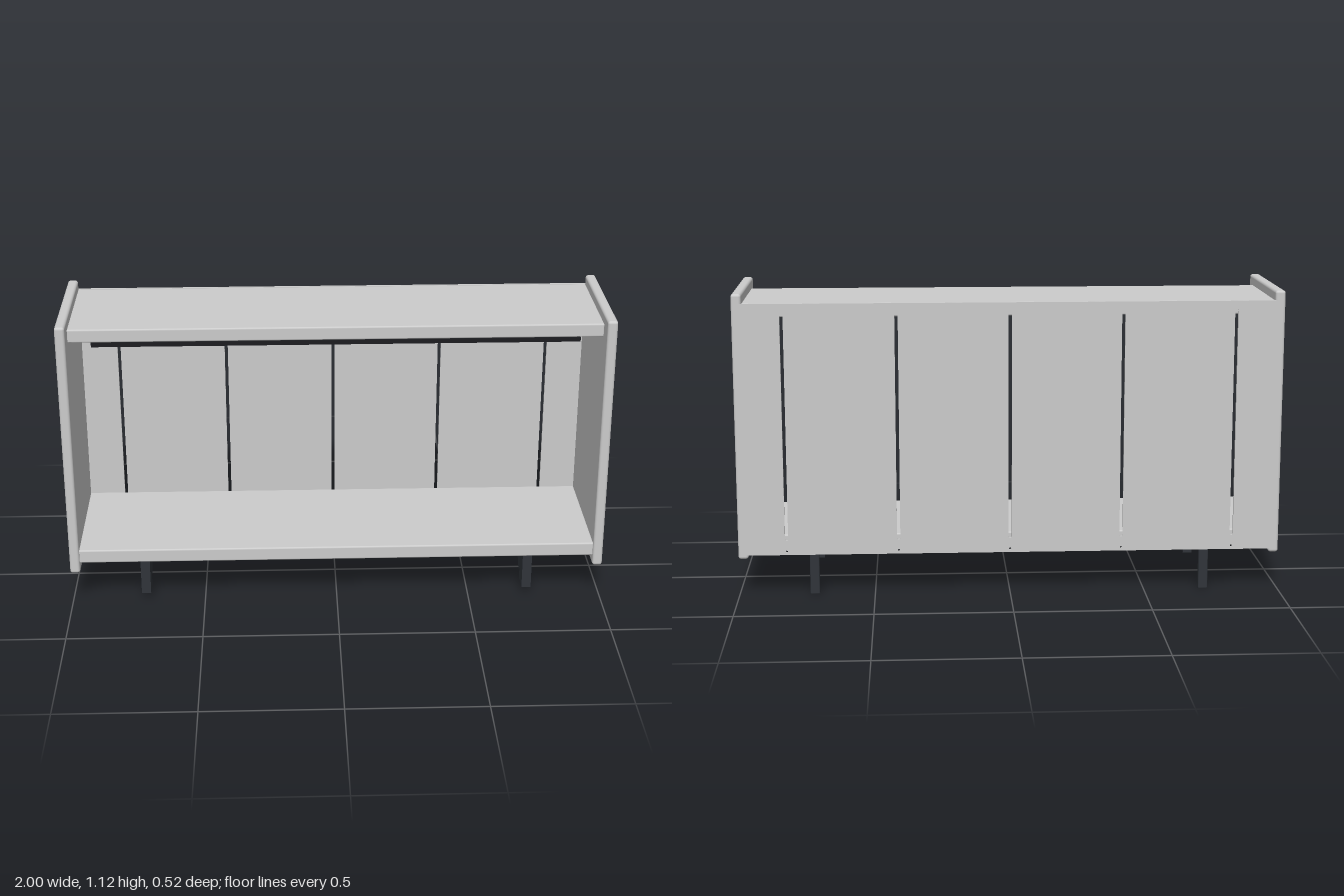
import * as THREE from 'three';
import { RoundedBoxGeometry } from 'three/addons/geometries/RoundedBoxGeometry.js';

export function createModel() {
  const root = new THREE.Group();
  const grey = new THREE.MeshStandardMaterial({ color: 0xcccccc });
  const dark = new THREE.MeshStandardMaterial({ color: 0x30343a });
  const black = new THREE.MeshStandardMaterial({ color: 0x1c1d20 });

  const add = (name, geometry, material, parent = root) => {
    const mesh = new THREE.Mesh(geometry, material);
    mesh.name = name;
    parent.add(mesh);
    return mesh;
  };
  // Box given by its limits on each axis, with an optional edge radius
  const box = (name, [x0, x1], [y0, y1], [z0, z1], material, radius = 0, parent = root) => {
    const size = [x1 - x0, y1 - y0, z1 - z0];
    const geometry = radius ? new RoundedBoxGeometry(...size, 3, radius) : new THREE.BoxGeometry(...size);
    const mesh = add(name, geometry, material, parent);
    mesh.position.set((x0 + x1) / 2, (y0 + y1) / 2, (z0 + z1) / 2);
    return mesh;
  };

  // Side panels with softly folded edges, taller than the body
  for (const s of [-1, 1]) {
    const name = s > 0 ? 'leftSidePanel' : 'rightSidePanel';
    box(name, s > 0 ? [0.963, 1] : [-1, -0.963], [0.14, 1.12], [-0.255, 0.26], grey, 0.01);
  }

  // Recessed top and deeper floor
  box('topPanel', [-0.965, 0.965], [1.035, 1.085], [-0.248, 0.188], grey, 0.006);
  box('floorPanel', [-0.965, 0.965], [0.178, 0.23], [-0.248, 0.25], grey, 0.006);

  // Back panel with five long slots, each with a small hole below
  const back = new THREE.Shape();
  back.moveTo(-0.975, 0.155);
  back.lineTo(0.975, 0.155);
  back.lineTo(0.975, 1.085);
  back.lineTo(-0.975, 1.085);
  back.closePath();
  for (let i = -2; i <= 2; i++) {
    const x = i * 0.411, r = 0.006;
    const slot = new THREE.Path();
    slot.absarc(x, 1.048, r, 0, Math.PI, false);
    slot.absarc(x, 0.215, r, Math.PI, 2 * Math.PI, false);
    slot.closePath();
    const hole = new THREE.Path();
    hole.absarc(x, 0.168, 0.004, 0, Math.PI * 2, false);
    back.holes.push(slot, hole);
  }
  const backGeometry = new THREE.ExtrudeGeometry(back, { depth: 0.01, bevelEnabled: false, curveSegments: 8 });
  add('backPanel', backGeometry, grey).position.z = -0.257;

  // Thin light bar under the top panel
  box('lightBar', [-0.88, 0.88], [1.02, 1.036], [0.178, 0.192], black);

  // Leg frames: braced front foot, rail under the floor, slim rear leg
  const foot = new THREE.Shape([
    [0.22, 0.03], [0.22, 0.18], [0.03, 0.18], [0.05, 0.14], [0.05, 0.127],
    [0.122, 0.055], [0.145, 0.072], [0.145, 0.03],
  ].map(([z, y]) => new THREE.Vector2(-z, y)));
  const footGeometry = new THREE.ExtrudeGeometry(foot, { depth: 0.035, bevelEnabled: false });
  footGeometry.translate(0, 0, -0.0175).rotateY(Math.PI / 2);
  for (const s of [-1, 1]) {
    const leg = new THREE.Group();
    leg.name = s > 0 ? 'leftLegFrame' : 'rightLegFrame';
    leg.position.x = s * 0.722;
    root.add(leg);
    add('frontFoot', footGeometry, dark, leg);
    box('legRail', [-0.0175, 0.0175], [0.15, 0.18], [-0.23, 0.2], dark, 0, leg);
    box('rearLeg', [-0.0175, 0.0175], [0, 0.18], [-0.245, -0.223], dark, 0.004, leg);
  }
  return root;
}
